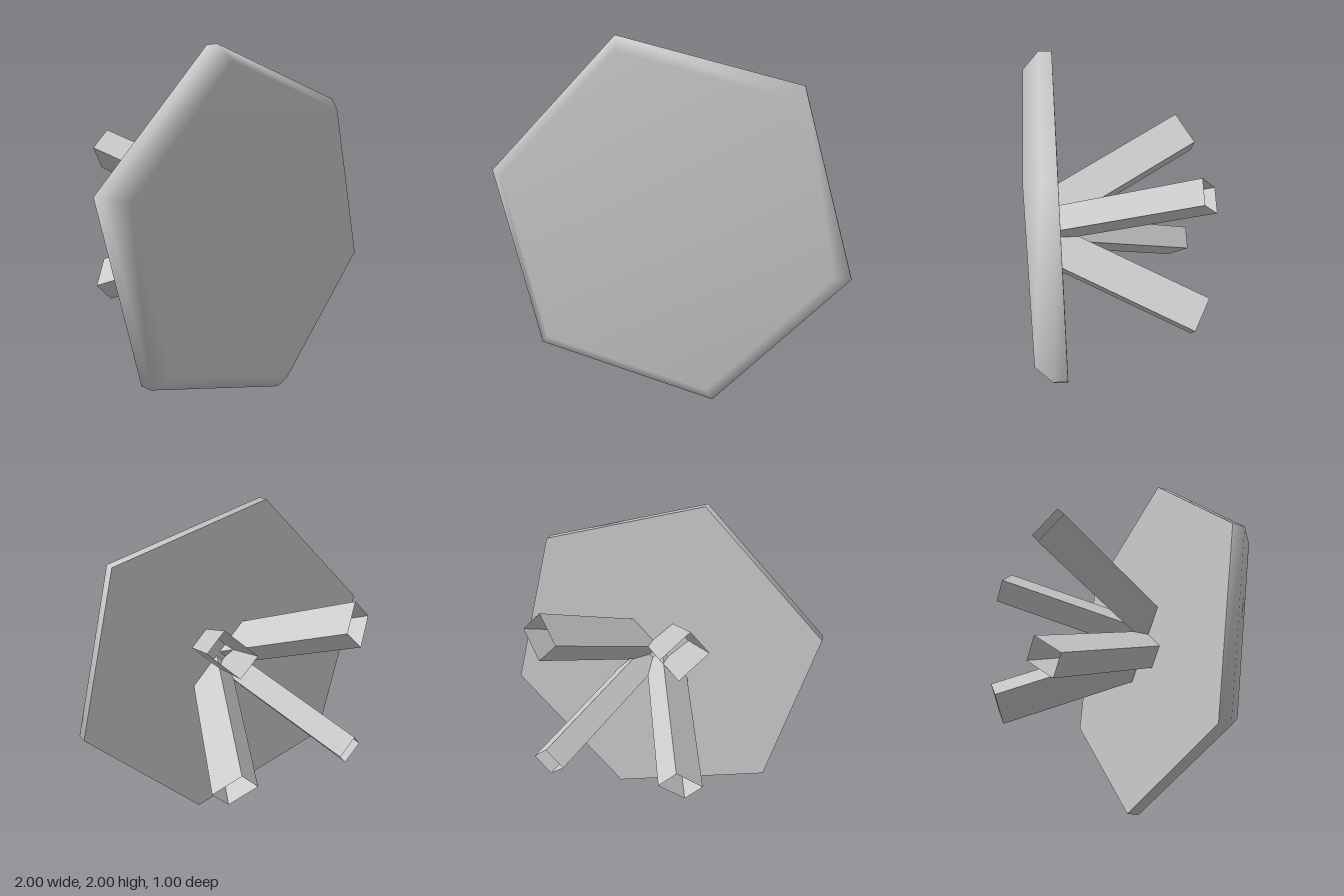
import * as THREE from 'three';

const material = new THREE.MeshStandardMaterial({ color: 0xcccccc });
const legMaterial = new THREE.MeshStandardMaterial({ color: 0xcccccc, flatShading: true, side: THREE.DoubleSide });

const RADIUS = 1.035, BACK = 0.335;

// Hexagonal plate with a softly shaded bevel on its front and a flat back
function createPlate() {
  const plate = new THREE.Group();
  plate.name = 'plate';
  plate.position.y = 1.0;

  const profile = [[RADIUS, BACK], [RADIUS, 0.41], [0.94, 0.5], [0, 0.5]]
    .map(([r, h]) => new THREE.Vector2(r, h));
  const frontGeometry = new THREE.LatheGeometry(profile, 6, Math.PI / 12);
  frontGeometry.rotateX(Math.PI / 2);
  const front = new THREE.Mesh(frontGeometry, material);
  front.name = 'plateFront';

  const backGeometry = new THREE.CircleGeometry(RADIUS, 6, Math.PI * 0.75);
  backGeometry.rotateY(Math.PI);
  const back = new THREE.Mesh(backGeometry, material);
  back.name = 'plateBack';
  back.position.z = BACK;

  plate.add(front, back);
  return plate;
}

// Open rectangular tube leaning outward (+y) as it runs backward (-z)
function createLegGeometry() {
  const inner = new THREE.Vector3(0, 0.099, 0.4);
  const outer = new THREE.Vector3(0, 0.568, -0.45);
  const run = outer.clone().sub(inner);
  const geometry = new THREE.CylinderGeometry(Math.SQRT1_2, Math.SQRT1_2, 1, 4, 1, true, Math.PI / 4);
  geometry.scale(0.144, run.length(), 0.21);
  geometry.rotateX(Math.atan2(run.z, run.y));
  const middle = inner.add(outer).multiplyScalar(0.5);
  geometry.translate(middle.x, middle.y, middle.z);
  return geometry;
}

export function createModel() {
  const model = new THREE.Group();
  model.name = 'hexagonalPanel';
  model.add(createPlate());

  // Four legs splayed diagonally from one point behind the plate
  const legs = new THREE.Group();
  legs.name = 'legs';
  legs.position.set(0.037, 1.03, 0);
  const legGeometry = createLegGeometry();
  for (let i = 0; i < 4; i++) {
    const leg = new THREE.Mesh(legGeometry, legMaterial);
    leg.name = `leg${i + 1}`;
    leg.rotation.z = Math.PI / 4 + i * Math.PI / 2;
    legs.add(leg);
  }
  model.add(legs);
  return model;
}
